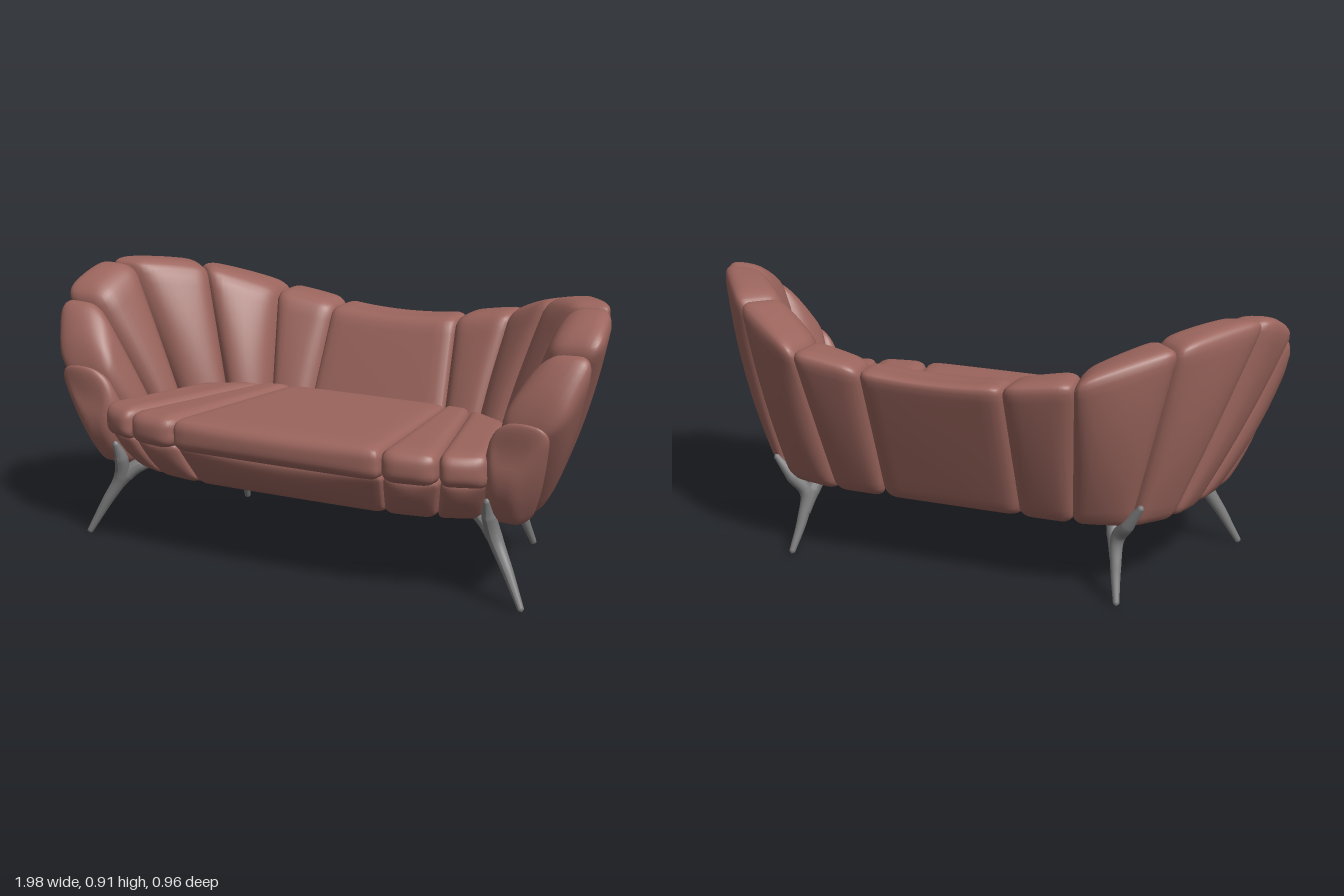
import * as THREE from 'three';
import { mergeVertices } from 'three/addons/utils/BufferGeometryUtils.js';

const leather = new THREE.MeshStandardMaterial({ color: 0x9b655d });
const metal = new THREE.MeshStandardMaterial({ color: 0x7c7c7c });
const V = (p, s = 1) => new THREE.Vector3(p[0] * s, p[1], p[2]);

// Rounded, slightly inflated block stretched between two end sections.
// Each section holds [outer bottom, outer top, inner top, inner bottom].
// puff swells the outer and inner faces, crown the top; bow pushes the second
// end forward; lap widens the block so that neighbours overlap.
function cushion(name, a, b, { r = 0.045, puff = 0.02, crown = 0.015, bow = 0, lap = 1.05 } = {}) {
  const mid = (...pts) => pts.reduce((m, p) => m.add(p), new THREE.Vector3()).divideScalar(pts.length);
  const axisU = mid(...b).sub(mid(...a));
  const axisV = mid(a[1], a[2], b[1], b[2]).sub(mid(a[0], a[3], b[0], b[3]));
  const axisW = mid(a[0], a[1], b[0], b[1]).sub(mid(a[2], a[3], b[2], b[3]));
  const half = [axisU, axisV, axisW].map((v) => v.length() / 2);
  const radius = Math.min(r, ...half.map((h) => h * 0.95));
  const flip = axisU.clone().cross(axisV).dot(axisW) < 0;
  const dirV = axisV.clone().normalize(), dirW = axisW.clone().normalize();

  let geo = new THREE.BoxGeometry(2, 2, 2, 16, 18, 12);
  geo.deleteAttribute('normal');
  geo.deleteAttribute('uv');
  geo = mergeVertices(geo);
  const pos = geo.attributes.position;
  const p = new THREE.Vector3(), core = new THREE.Vector3();
  const lim = new THREE.Vector3(...half.map((h) => h - radius));
  for (let i = 0; i < pos.count; i++) {
    p.fromBufferAttribute(pos, i);
    // crowd the grid toward the edges, then round them
    p.set(...p.toArray().map((t, k) => Math.sin((t * Math.PI) / 2) * half[k]));
    core.copy(p).clamp(lim.clone().negate(), lim);
    p.sub(core).setLength(radius).add(core);
    const [u, v, w] = p.toArray().map((t, k) => t / half[k]);
    const at = (s) => {
      const outer = s[0].clone().lerp(s[1], (v + 1) / 2);
      const inner = s[3].clone().lerp(s[2], (v + 1) / 2);
      return inner.lerp(outer, (w + 1) / 2);
    };
    const q = at(a).lerp(at(b), (u * lap + 1) / 2);
    q.addScaledVector(dirW, puff * w * (1 - u * u) * (1 - v * v));
    q.addScaledVector(dirV, crown * Math.max(0, v) * (1 - u * u) * (1 - 0.5 * w * w));
    q.z += bow * (1 - v * v) * (u + 1) / 2;
    pos.setXYZ(i, q.x, q.y, q.z);
  }
  if (flip) {
    const ix = geo.index;
    for (let i = 0; i < ix.count; i += 3) {
      const t = ix.getX(i);
      ix.setX(i, ix.getX(i + 1));
      ix.setX(i + 1, t);
    }
  }
  geo.computeVertexNormals();
  const mesh = new THREE.Mesh(geo, leather);
  mesh.name = name;
  return mesh;
}

// Tapered round bar: points are [x, y, z, radius].
function bar(name, pts, s) {
  const curve = new THREE.CatmullRomCurve3(pts.map((p) => V(p, s)));
  const steps = 60, sides = 14;
  const geo = new THREE.TubeGeometry(curve, steps, 1, sides);
  const pos = geo.attributes.position, p = new THREE.Vector3();
  for (let i = 0; i <= steps; i++) {
    const t = i / steps, c = curve.getPointAt(t);
    const f = curve.getUtoTmapping(t) * (pts.length - 1), k = Math.min(Math.floor(f), pts.length - 2);
    let rad = THREE.MathUtils.lerp(pts[k][3], pts[k + 1][3], f - k);
    if (i === 0 || i === steps) rad = 0.0005;
    for (let j = 0; j <= sides; j++) {
      const n = i * (sides + 1) + j;
      p.fromBufferAttribute(pos, n).sub(c).multiplyScalar(rad).add(c);
      pos.setXYZ(n, p.x, p.y, p.z);
    }
  }
  geo.computeVertexNormals();
  const mesh = new THREE.Mesh(geo, metal);
  mesh.name = name;
  return mesh;
}

// Seams of the shell from the back panel round to the arm front:
// [outer bottom, outer top, inner top, inner bottom]
const seams = [
  [[0.23, 0.242, -0.285], [0.24, 0.755, -0.49], [0.245, 0.75, -0.335], [0.28, 0.25, -0.15]],
  [[0.42, 0.242, -0.285], [0.48, 0.79, -0.485], [0.455, 0.79, -0.31], [0.39, 0.25, -0.14]],
  [[0.61, 0.242, -0.25], [0.765, 0.88, -0.285], [0.65, 0.875, -0.17], [0.48, 0.25, -0.08]],
  [[0.71, 0.242, -0.13], [0.97, 0.915, 0.01], [0.815, 0.905, 0.015], [0.59, 0.25, -0.01]],
  [[0.75, 0.242, 0.005], [1.015, 0.82, 0.225], [0.83, 0.81, 0.215], [0.62, 0.25, 0.07]],
  [[0.775, 0.242, 0.145], [0.93, 0.585, 0.35], [0.72, 0.585, 0.335], [0.65, 0.25, 0.17]],
  [[0.79, 0.242, 0.285], [0.85, 0.50, 0.362], [0.71, 0.50, 0.362], [0.68, 0.245, 0.285]],
];
// Panels between the seams, with their padding
const panels = [
  ['backSide', { puff: 0.016, crown: 0.005 }],
  ['backCorner', { puff: 0.035, crown: 0.01 }],
  ['rearWing', { puff: 0.03, crown: 0.012 }],
  ['wing', { r: 0.05, puff: 0.022, crown: 0.02 }],
  ['arm', { r: 0.055, puff: 0.025, crown: 0.035, bow: 0.02 }],
  ['armFront', { r: 0.06, crown: 0.055, bow: 0.04 }],
];

// Seat seams in plan: [back x, back z, front x, front z]
const seatSeams = [[0.30, -0.18, 0.385, 0.47], [0.395, -0.17, 0.575, 0.44], [0.60, -0.03, 0.715, 0.375]];

// Seat sections: a thin top pad over a base whose front tucks under.
function seatSection([bx, bz, fx, fz], s, pad) {
  const y0 = pad ? 0.375 : 0.245, y1 = pad ? 0.49 : 0.40;
  const tuck = pad ? 0 : 0.11, k = pad ? 0 : 0.015;
  const shrink = pad ? 1 : 0.9;
  return [[fx * shrink, y0, fz - tuck], [fx, y1, fz - k], [bx, y1, bz], [bx, y0, bz]].map((p) => V(p, s));
}

export function createModel() {
  const sofa = new THREE.Group();
  sofa.name = 'sofa';
  const sec = (i, s) => seams[i].map((p) => V(p, s));

  // Back panel and the fan of panels on each side
  const shell = new THREE.Group();
  shell.name = 'shell';
  shell.add(cushion('backCentre', sec(0, -1), sec(0, 1), { crown: -0.022, puff: 0.005, lap: 1.01 }));
  for (const s of [1, -1]) {
    panels.forEach(([name, opts], i) => {
      shell.add(cushion(name + (s > 0 ? 'Left' : 'Right'), sec(i, s), sec(i + 1, s), opts));
    });
  }
  sofa.add(shell);

  // Seat in two layers, split into five wedges
  const seat = new THREE.Group();
  seat.name = 'seat';
  for (const pad of [false, true]) {
    const layer = pad ? 'seatPad' : 'seatBase';
    const opts = { r: pad ? 0.04 : 0.03, puff: pad ? 0.012 : 0.028, crown: 0, lap: 1.01 };
    seat.add(cushion(layer + 'Centre', seatSection(seatSeams[0], -1, pad), seatSection(seatSeams[0], 1, pad), opts));
    for (const s of [1, -1]) {
      for (let i = 0; i < 2; i++) {
        const a = seatSection(seatSeams[i], s, pad), b = seatSection(seatSeams[i + 1], s, pad);
        seat.add(cushion(layer + (i ? 'Outer' : 'Inner') + (s > 0 ? 'Left' : 'Right'), a, b, opts));
      }
    }
  }
  sofa.add(seat);

  // Splayed legs, each with an upright tab and an arm that runs in under the seat
  for (const s of [1, -1]) {
    const side = s > 0 ? 'Left' : 'Right';
    const front = new THREE.Group(), rear = new THREE.Group();
    front.name = 'frontLeg' + side;
    rear.name = 'rearLeg' + side;
    front.add(
      bar('leg', [[0.822, 0, 0.343, 0.01], [0.763, 0.11, 0.32, 0.018], [0.708, 0.21, 0.302, 0.025], [0.694, 0.28, 0.318, 0.024], [0.698, 0.345, 0.348, 0.008]], s),
      bar('legArm', [[0.745, 0.14, 0.313, 0.016], [0.695, 0.215, 0.288, 0.026], [0.65, 0.25, 0.265, 0.024], [0.59, 0.262, 0.235, 0.012]], s));
    rear.add(
      bar('leg', [[0.578, 0, -0.303, 0.01], [0.558, 0.11, -0.252, 0.018], [0.553, 0.2, -0.224, 0.024], [0.592, 0.26, -0.246, 0.023], [0.645, 0.34, -0.266, 0.009]], s),
      bar('legArm', [[0.553, 0.13, -0.243, 0.018], [0.538, 0.205, -0.207, 0.026], [0.52, 0.245, -0.175, 0.024], [0.485, 0.26, -0.13, 0.012]], s));
    sofa.add(front, rear);
  }
  return sofa;
}
